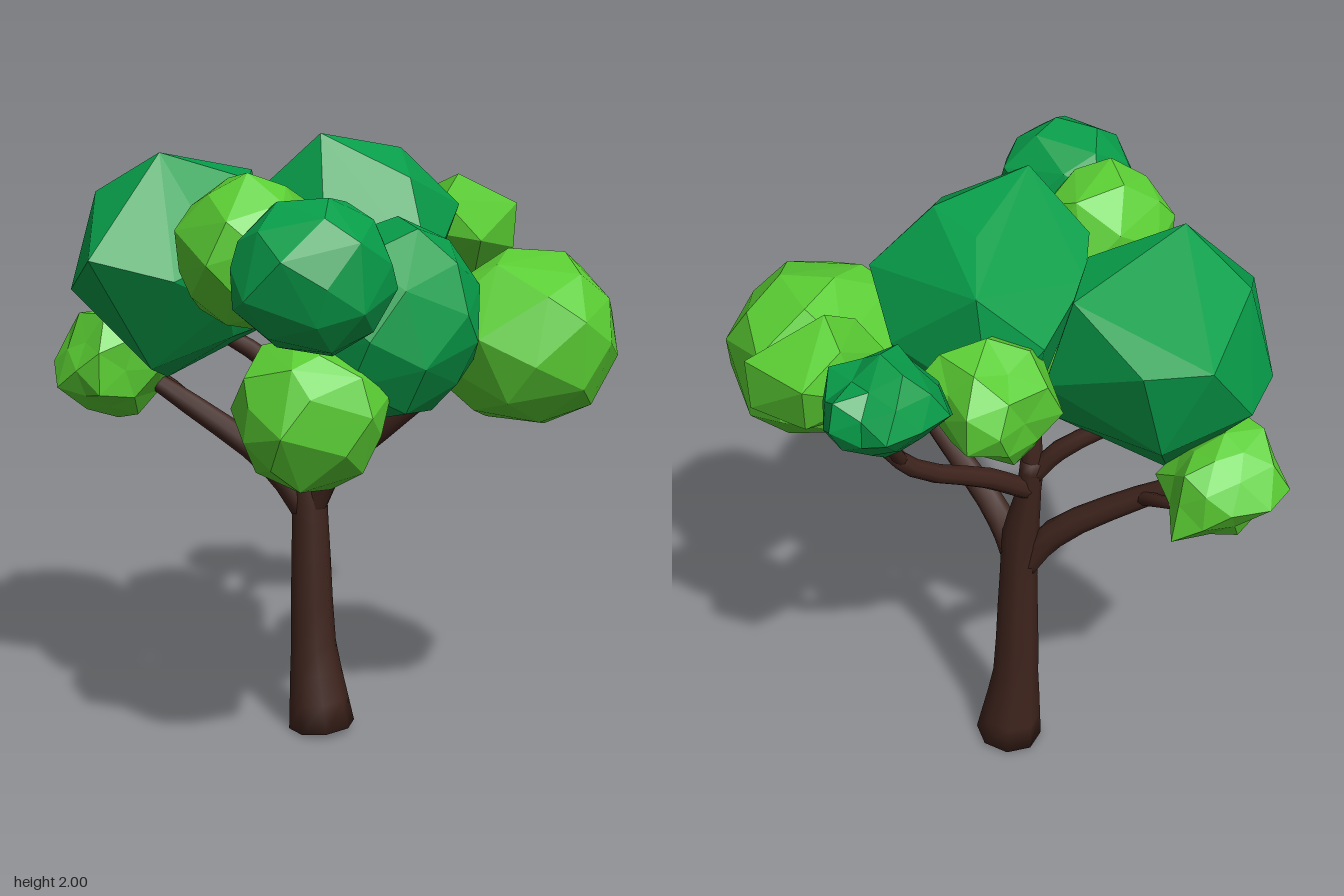
import * as THREE from 'three';
import { ConvexGeometry } from 'three/addons/geometries/ConvexGeometry.js';
import { mergeVertices } from 'three/addons/utils/BufferGeometryUtils.js';

const V = (x, y, z) => new THREE.Vector3(x, y, z);
const bark = new THREE.MeshStandardMaterial({ color: 0x3f241d });
const leaf = (color) => new THREE.MeshStandardMaterial({ color, flatShading: true });
const dark = leaf(0x089e4a);
const light = leaf(0x5acd33);

function seeded(seed) {
  let s = seed * 7919 + 17;
  return () => (s = (s * 16807) % 2147483647) / 2147483647;
}

// Tapered limb through points [x, y, z, radius]
function limb(name, pts) {
  const curve = new THREE.CatmullRomCurve3(pts.map((p) => V(p[0], p[1], p[2])));
  const n = pts.length - 1;
  let geo = new THREE.CylinderGeometry(1, 1, 1, 8, n * 3);
  const pos = geo.attributes.position;
  const up = V(0, 1, 0), q = new THREE.Quaternion(), v = V(0, 0, 0);
  for (let i = 0; i < pos.count; i++) {
    v.fromBufferAttribute(pos, i);
    const t = THREE.MathUtils.clamp(v.y + 0.5, 0, 1);
    const k = Math.min(Math.floor(t * n), n - 1);
    const r = THREE.MathUtils.lerp(pts[k][3], pts[k + 1][3], t * n - k);
    q.setFromUnitVectors(up, curve.getTangent(t));
    v.set(v.x * r, 0, v.z * r).applyQuaternion(q).add(curve.getPoint(t));
    pos.setXYZ(i, v.x, v.y, v.z);
  }
  // Weld the seam so the bark shades smoothly
  geo.deleteAttribute('uv');
  geo.deleteAttribute('normal');
  geo = mergeVertices(geo, 1e-4);
  geo.computeVertexNormals();
  const mesh = new THREE.Mesh(geo, bark);
  mesh.name = name;
  return mesh;
}

// Faceted rounded clump: hull of jittered points on a sphere
function smoothClump(seed, count) {
  const rnd = seeded(seed), pts = [];
  for (let i = 0; i < count; i++) {
    const y = 1 - (2 * (i + 0.5)) / count, a = i * 2.39996 + rnd() * 0.5 + seed;
    const r = Math.sqrt(1 - y * y);
    pts.push(V(r * Math.cos(a), y, r * Math.sin(a)).multiplyScalar(0.94 + 0.1 * rnd()));
  }
  return new ConvexGeometry(pts);
}

// Ragged clump: icosphere whose shared corners are pushed in and out
function raggedClump(seed) {
  const rnd = seeded(seed), seen = {};
  const geo = new THREE.IcosahedronGeometry(1, 1);
  const pos = geo.attributes.position, v = V(0, 0, 0);
  for (let i = 0; i < pos.count; i++) {
    v.fromBufferAttribute(pos, i);
    const key = [v.x, v.y, v.z].map((c) => Math.round(c * 100) + 0).join();
    seen[key] ??= 0.75 + 0.4 * rnd();
    v.multiplyScalar(seen[key]);
    pos.setXYZ(i, v.x, v.y, v.z);
  }
  return geo;
}

// Fit a clump into the box lo..hi
function clump(name, geo, material, lo, hi) {
  geo.computeBoundingBox();
  const size = geo.boundingBox.getSize(V(0, 0, 0));
  geo.center();
  geo.scale(...[0, 1, 2].map((i) => (hi[i] - lo[i]) / size.getComponent(i)));
  geo.translate(...[0, 1, 2].map((i) => (hi[i] + lo[i]) / 2));
  geo.computeVertexNormals();
  const mesh = new THREE.Mesh(geo, material);
  mesh.name = name;
  return mesh;
}

// Angular clump: hull of a few corners
function angularClump(name, material, corners) {
  const mesh = new THREE.Mesh(new ConvexGeometry(corners.map((c) => V(...c))), material);
  mesh.name = name;
  return mesh;
}

export function createModel() {
  const tree = new THREE.Group();
  tree.name = 'tree';

  // Trunk and branches
  tree.add(
    limb('trunk', [
      [-0.055, 0.015, -0.08, 0.11], [-0.085, 0.3, -0.075, 0.075], [-0.098, 0.72, -0.075, 0.06],
      [-0.11, 0.9, -0.075, 0.058], [-0.148, 1.08, -0.078, 0.038], [-0.16, 1.2, -0.075, 0.036],
    ]),
    limb('leftForkBranch', [[-0.105, 0.74, -0.07, 0.042], [-0.19, 0.9, -0.01, 0.046],
      [-0.42, 1.1, 0.13, 0.036], [-0.62, 1.24, 0.23, 0.022]]),
    limb('leftForkTwig', [[-0.42, 1.1, 0.13, 0.025], [-0.52, 1.15, 0.11, 0.02], [-0.63, 1.19, 0.11, 0.015]]),
    limb('rightForkBranch', [[-0.1, 0.74, -0.075, 0.042], [-0.02, 0.9, -0.08, 0.046],
      [0.16, 1.06, -0.1, 0.038], [0.42, 1.28, -0.14, 0.027]]),
    limb('upperLeftBranch', [[-0.155, 1.13, -0.075, 0.03], [-0.22, 1.24, -0.02, 0.032], [-0.38, 1.38, 0.12, 0.024]]),
    limb('upperBranch', [[-0.16, 1.15, -0.075, 0.034], [-0.145, 1.28, -0.07, 0.034], [-0.1, 1.5, -0.06, 0.03]]),
    limb('backBranch', [[-0.15, 1.08, -0.075, 0.032], [-0.14, 1.2, -0.24, 0.033],
      [-0.12, 1.35, -0.5, 0.028], [-0.08, 1.47, -0.59, 0.024], [-0.02, 1.62, -0.63, 0.018]]),
    limb('backTwig', [[-0.11, 1.38, -0.53, 0.02], [-0.15, 1.5, -0.61, 0.018], [-0.2, 1.62, -0.65, 0.012]]),
  );

  // Foliage
  tree.add(
    angularClump('leftClump', dark, [
      [-0.75, 1.73, 0.05], [-0.63, 1.72, -0.1], [-0.35, 1.84, -0.1], [-0.19, 1.84, 0.11],
      [-0.35, 1.93, 0.34], [-0.58, 1.8, 0.38], [-0.73, 1.5, 0.25], [-0.36, 1.64, 0.65],
      [-0.15, 1.58, 0.51], [-0.11, 1.63, 0.34], [-0.12, 1.48, 0.3], [-0.17, 1.37, 0.22],
      [-0.46, 1.2, 0.2], [-0.63, 1.5, 0.45], [-0.33, 1.28, 0.42], [-0.62, 1.42, 0],
      [-0.22, 1.37, -0.04], [-0.28, 1.55, -0.14], [-0.11, 1.58, 0.1],
    ]),
    angularClump('crownClump', dark, [
      [0.12, 2, 0.16], [0.2, 1.94, -0.14], [0, 1.92, -0.15], [-0.16, 1.84, -0.29], [-0.29, 1.68, -0.15],
      [0.13, 1.6, -0.37], [0.31, 1.76, -0.3], [0.44, 1.6, 0.05], [0.33, 1.87, 0],
      [0.22, 1.65, 0.27], [-0.06, 1.82, 0.24], [-0.17, 1.75, 0.12], [0, 1.26, 0],
      [-0.18, 1.4, -0.1], [0.28, 1.37, -0.08], [0.08, 1.42, 0.24], [-0.2, 1.5, -0.28], [0.18, 1.36, -0.25],
    ]),
    clump('rightClump', smoothClump(4, 34), dark, [0.13, 1.19, -0.11], [0.65, 1.77, 0.46]),
    clump('frontRightClump', smoothClump(6, 32), dark, [0.21, 1.45, 0.41], [0.645, 1.885, 0.835]),
    clump('frontClump', smoothClump(7, 32), light, [-0.115, 1.46, 0.24], [0.29, 1.915, 0.68]),
    clump('lowFrontClump', smoothClump(8, 34), light, [0.08, 1.01, 0.22], [0.52, 1.46, 0.665]),
    clump('backRightClump', smoothClump(9, 36), light, [0.27, 1.09, -0.605], [0.84, 1.64, 0]),
    clump('lowLeftClump', raggedClump(10), light, [-0.845, 1.045, 0.03], [-0.46, 1.41, 0.42]),
    clump('backDarkClump', raggedClump(11), dark, [-0.36, 1.5, -0.84], [-0.03, 1.835, -0.46]),
    angularClump('backLightClump', light, [
      [-0.04, 1.7, -0.81], [0.2, 1.7, -0.83], [0.205, 1.6, -0.6], [0.04, 1.64, -0.45],
      [-0.06, 1.6, -0.62], [0.1, 1.81, -0.62], [-0.02, 1.76, -0.66], [0.12, 1.47, -0.7],
      [0.02, 1.5, -0.58], [0.19, 1.55, -0.83], [0, 1.55, -0.78], [0.12, 1.74, -0.5],
    ]),
    clump('backLeftClump', raggedClump(13), light, [-0.41, 1.37, -0.49], [-0.03, 1.75, -0.11]),
  );
  return tree;
}
